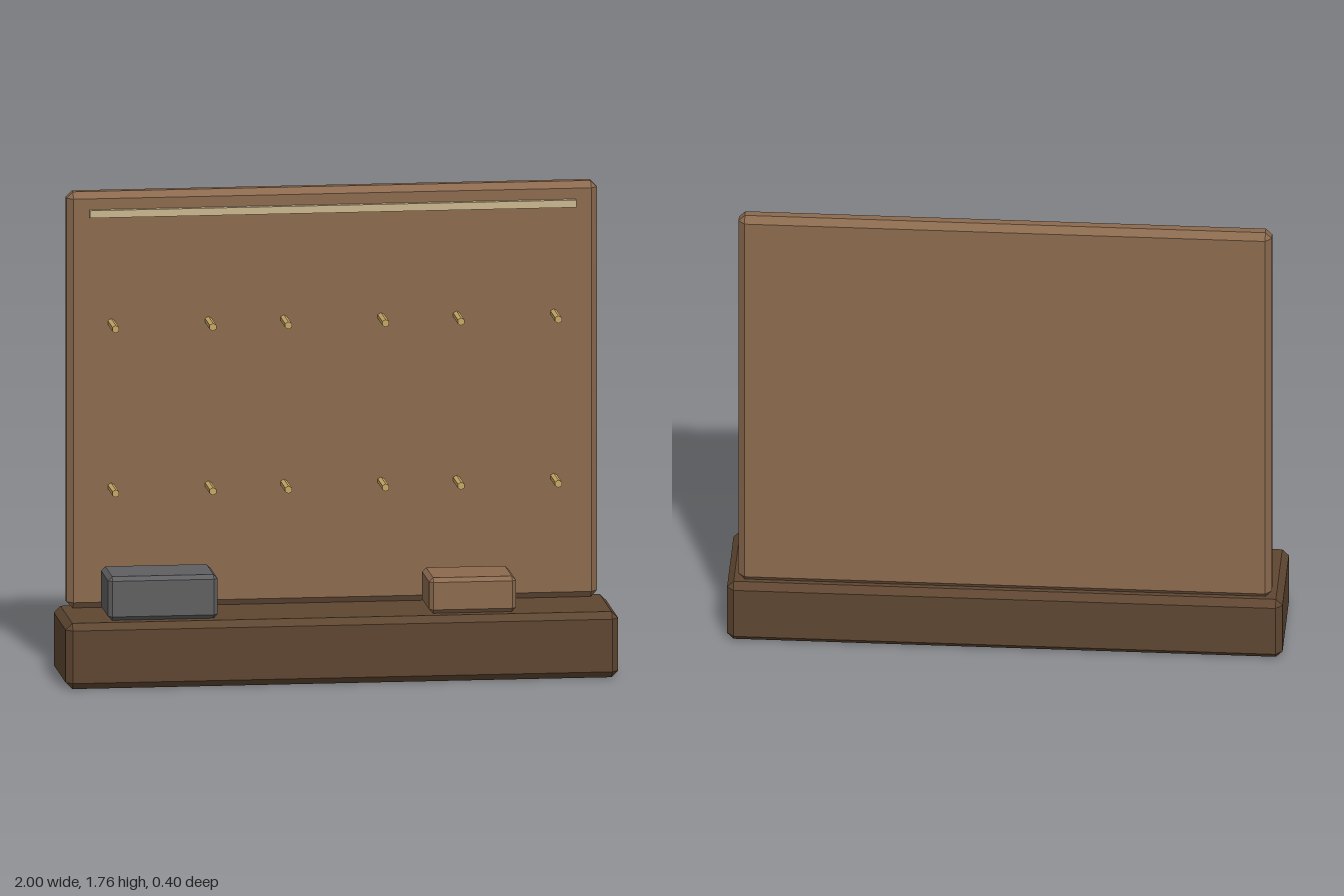
import * as THREE from 'three';
import { ConvexGeometry } from 'three/addons/geometries/ConvexGeometry.js';

function material(name, color) {
  const m = new THREE.MeshStandardMaterial({ color });
  m.name = name;
  return m;
}

// Box with 45 degree chamfers on every edge, given by its extents
function chamferBox([x0, x1], [y0, y1], [z0, z1], c) {
  const half = [(x1 - x0) / 2, (y1 - y0) / 2, (z1 - z0) / 2];
  const points = [];
  for (const sx of [-1, 1]) for (const sy of [-1, 1]) for (const sz of [-1, 1]) {
    for (let axis = 0; axis < 3; axis++) {
      const [px, py, pz] = half.map((h, i) => (i === axis ? h : h - c));
      points.push(new THREE.Vector3(sx * px, sy * py, sz * pz));
    }
  }
  return new ConvexGeometry(points).translate((x0 + x1) / 2, (y0 + y1) / 2, (z0 + z1) / 2);
}

export function createModel() {
  const darkWood = material('darkWood', 0x5e4631);
  const wood = material('wood', 0x8b6a4e);
  const slate = material('slateGrey', 0x5f5f61);
  const cream = material('cream', 0xcbb68f);
  const brass = material('brass', 0xc6a664);

  const group = new THREE.Group();
  group.name = 'pegboardStand';
  const add = (name, geometry, mat) => {
    const mesh = new THREE.Mesh(geometry, mat);
    mesh.name = name;
    group.add(mesh);
    return mesh;
  };

  // Base and upright panel
  add('base', chamferBox([-1, 1], [0, 0.24], [-0.2, 0.2], 0.024), darkWood);
  add('backPanel', chamferBox([-0.96, 0.96], [0.24, 1.76], [-0.18, -0.105], 0.023), wood);

  // Blocks resting on the base
  add('greyBlock', chamferBox([-0.842, -0.445], [0.24, 0.4], [-0.085, 0.15], 0.015), slate);
  add('woodBlock', chamferBox([0.32, 0.635], [0.24, 0.37], [-0.085, 0.15], 0.015), wood);

  // Strip along the top of the panel
  add('topStrip', new THREE.BoxGeometry(1.76, 0.027, 0.022), cream).position.set(0, 1.684, -0.095);

  // Two rows of three peg pairs
  const pegGeometry = new THREE.CylinderGeometry(0.014, 0.014, 0.14, 6)
    .rotateX(Math.PI / 2).toNonIndexed();
  pegGeometry.computeVertexNormals();
  for (const y of [0.684, 1.284]) {
    for (const centre of [-0.625, 0, 0.625]) {
      for (const side of [-1, 1]) {
        add('peg', pegGeometry, brass).position.set(centre + side * 0.176, y, -0.037);
      }
    }
  }
  return group;
}
